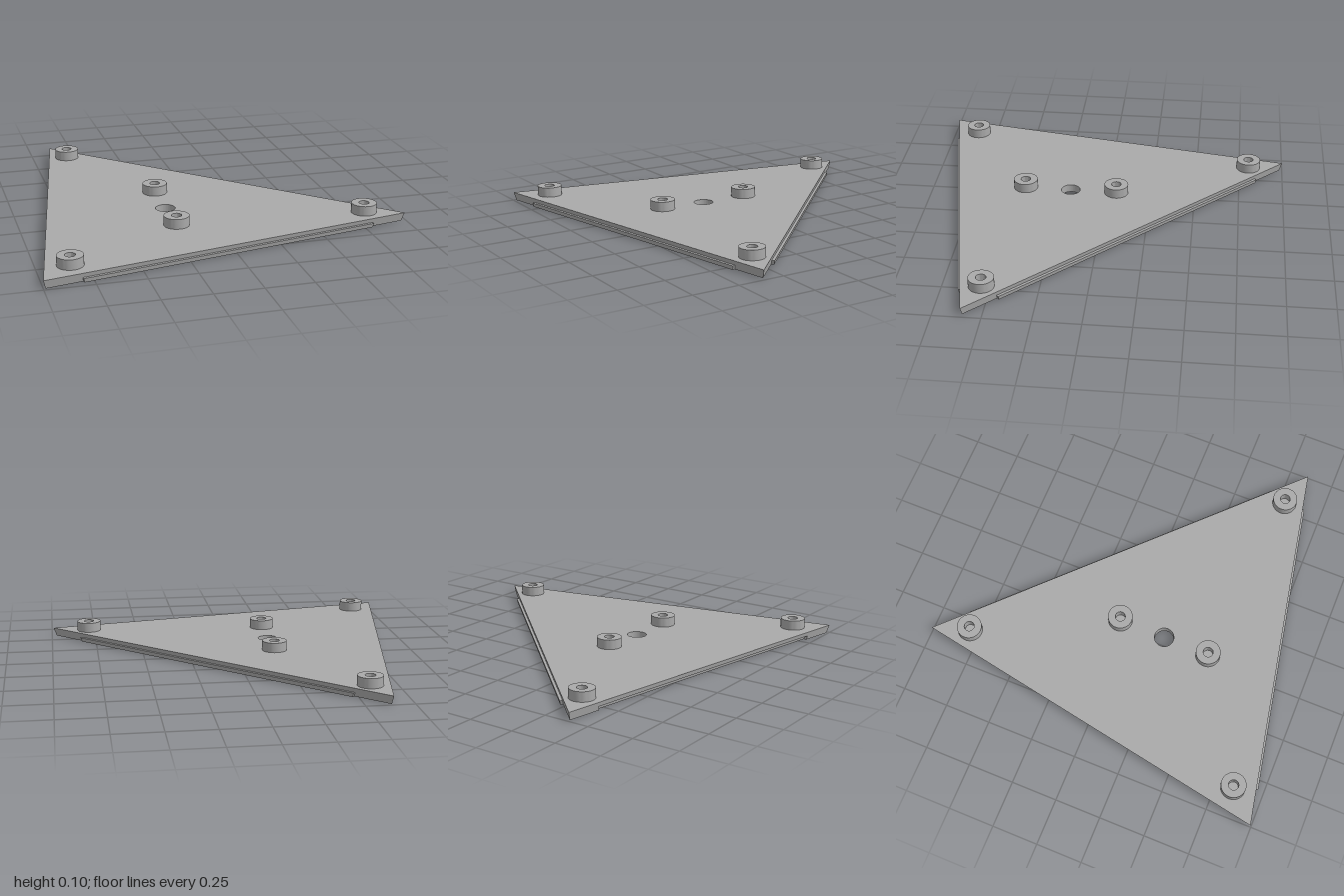
import * as THREE from 'three';
import { toCreasedNormals } from 'three/addons/utils/BufferGeometryUtils.js';

const TOP = 0.045;      // upper face of the plate
const STEP = 0.022;     // height of the edge tabs
const BOSS_TOP = 0.098;
const HOLE = new THREE.Vector2(-0.215, 0.2);
const CORNERS = [[-0.64, -1], [0.99, 0.605], [-1, 0.995]].map(([x, z]) => new THREE.Vector2(x, z));
const TABS = [0.015, 0.015, -0.016]; // two tongues and one matching groove

// Triangle outline, optionally with a tab or groove on every edge
function outline(offsets) {
  const pts = [];
  CORNERS.forEach((p, i) => {
    const q = CORNERS[(i + 1) % 3];
    pts.push(p.clone());
    if (!offsets) return;
    const e = q.clone().sub(p).normalize();
    const n = new THREE.Vector2(e.y, -e.x).multiplyScalar(offsets[i]);
    const a = p.clone().lerp(q, 0.095), b = p.clone().lerp(q, 0.905);
    pts.push(a, a.clone().add(n), b.clone().add(n), b);
  });
  return pts;
}

// Flat layer between two heights, narrowing slightly towards the underside
function layer(points, y0, y1) {
  const shape = new THREE.Shape(points);
  shape.holes.push(new THREE.Path().absarc(HOLE.x, HOLE.y, 0.053, 0, Math.PI * 2, true));
  const geo = new THREE.ExtrudeGeometry(shape, { depth: y1 - y0, bevelEnabled: false, curveSegments: 32 });
  geo.rotateX(Math.PI / 2).translate(0, y1, 0);
  const pos = geo.attributes.position;
  for (let i = 0; i < pos.count; i++) {
    const s = 1 - 0.31 * (TOP - pos.getY(i));
    pos.setX(i, HOLE.x + (pos.getX(i) - HOLE.x) * s);
    pos.setZ(i, HOLE.y + (pos.getZ(i) - HOLE.y) * s);
  }
  return toCreasedNormals(geo, 0.6);
}

export function createModel() {
  const group = new THREE.Group();
  const grey = new THREE.MeshStandardMaterial({ color: 0xaaaaaa });
  grey.name = 'plain grey';
  const add = (name, geo) => {
    const mesh = new THREE.Mesh(geo, grey);
    mesh.name = name;
    group.add(mesh);
    return mesh;
  };

  // Plate in two layers
  add('upperPlate', layer(outline(), STEP, TOP));
  add('lowerPlateWithTabs', layer(outline(TABS), 0, STEP));

  // Hollow standoffs: three at the corners, two beside the central hole
  const profile = [[0.027, TOP], [0.027, BOSS_TOP], [0.067, BOSS_TOP], [0.067, TOP]]
    .map(([r, y]) => new THREE.Vector2(r, y)).reverse();
  const boss = toCreasedNormals(new THREE.LatheGeometry(profile, 40), 0.6);
  [[-0.57, -0.8], [0.785, 0.535], [-0.845, 0.84], [-0.21, -0.06], [-0.22, 0.457]].forEach(([x, z], i) => {
    add('standoff' + (i + 1), boss).position.set(x, 0, z);
  });
  return group;
}
